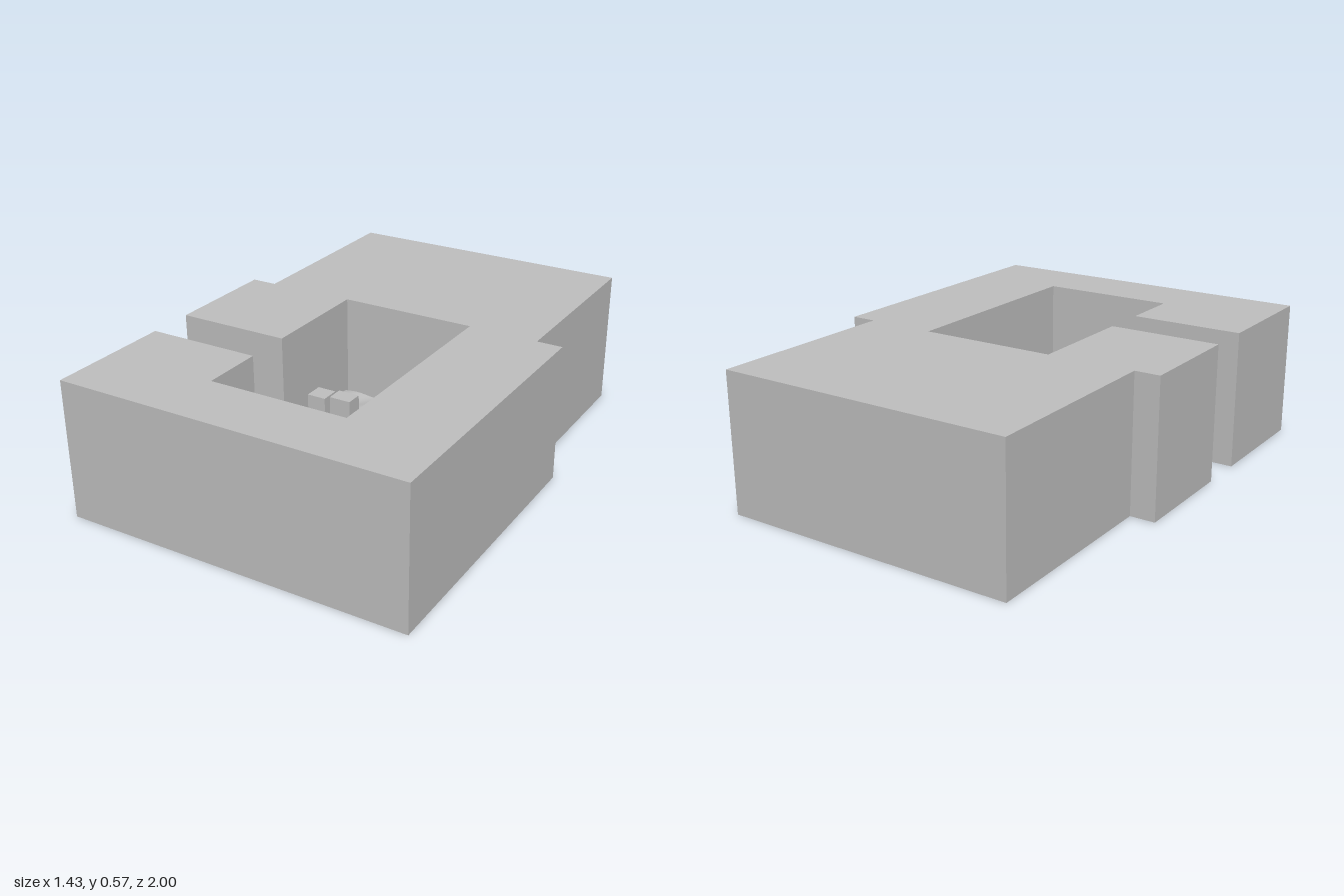
import * as THREE from 'three';

export function createModel() {
  const model = new THREE.Group();
  const stone = new THREE.MeshStandardMaterial({ color: 0xbfbfbf });
  stone.name = 'grey stone';
  const stoneSheet = stone.clone();
  stoneSheet.side = THREE.DoubleSide;

  const HEIGHT = 0.57;
  const FLOOR = 0.16;

  const add = (name, geometry, material = stone) => {
    const mesh = new THREE.Mesh(geometry, material);
    mesh.name = name;
    model.add(mesh);
    return mesh;
  };

  // Box given by its limits on each axis
  const block = (name, x0, x1, y0, y1, z0, z1) => {
    const mesh = add(name, new THREE.BoxGeometry(x1 - x0, y1 - y0, z1 - z0));
    mesh.position.set((x0 + x1) / 2, (y0 + y1) / 2, (z0 + z1) / 2);
  };

  // Thick walls around a courtyard, with an open passage on the right side
  const plan = [
    [-0.615, -1], [0.61, -1], [0.61, -0.19], [0.715, -0.19], [0.715, 1],
    [-0.72, 1], [-0.72, 0.475], [-0.25, 0.475], [-0.25, 0.73], [0.32, 0.73],
    [0.32, -0.195], [-0.25, -0.195], [-0.25, 0.285], [-0.72, 0.285],
    [-0.72, -0.19], [-0.615, -0.19],
  ];
  const outline = new THREE.Shape(plan.map(([x, z]) => new THREE.Vector2(x, -z)));
  const walls = new THREE.ExtrudeGeometry(outline, { depth: HEIGHT, bevelEnabled: false });
  walls.rotateX(-Math.PI / 2);
  add('walls', walls);

  // Thin floor with diagonal ripples
  const rippledSheet = (name, x0, x1, z0, z1, nx, nz) => {
    const g = new THREE.PlaneGeometry(x1 - x0, z1 - z0, nx, nz);
    g.rotateX(-Math.PI / 2);
    g.translate((x0 + x1) / 2, FLOOR, (z0 + z1) / 2);
    const p = g.attributes.position;
    for (let i = 0; i < p.count; i++) {
      const phase = (p.getX(i) * 1.3 + p.getZ(i)) * 26;
      p.setY(i, FLOOR + 0.004 * Math.sin(phase));
    }
    g.computeVertexNormals();
    add(name, g, stoneSheet);
  };
  rippledSheet('courtyardFloor', -0.25, 0.32, -0.175, 0.72, 40, 60);
  rippledSheet('threshold', -0.27, -0.25, 0.285, 0.475, 2, 14);

  // Loose blocks on the floor and the step in the passage
  block('lowBlock', -0.22, -0.14, FLOOR - 0.005, 0.285, 0.08, 0.16);
  block('tallBlock', -0.07, 0.02, FLOOR - 0.005, 0.34, 0.16, 0.23);
  block('passageStep', -0.32, -0.24, FLOOR - 0.005, 0.28, 0.31, 0.45);

  // Stepped rubble heap in the back left corner
  const heap = [
    [0.03, 0.2, 0.135, 0.19, -0.025, 0.07],
    [0.06, 0.18, 0.14, 0.2, -0.01, 0.055],
    [0.12, 0.3, 0.15, 0.2, -0.09, 0.01],
    [0.16, 0.319, 0.15, 0.21, -0.16, -0.04],
    [0.21, 0.319, 0.15, 0.22, -0.175, -0.02],
  ];
  for (const limits of heap) block('rubble', ...limits);

  return model;
}
